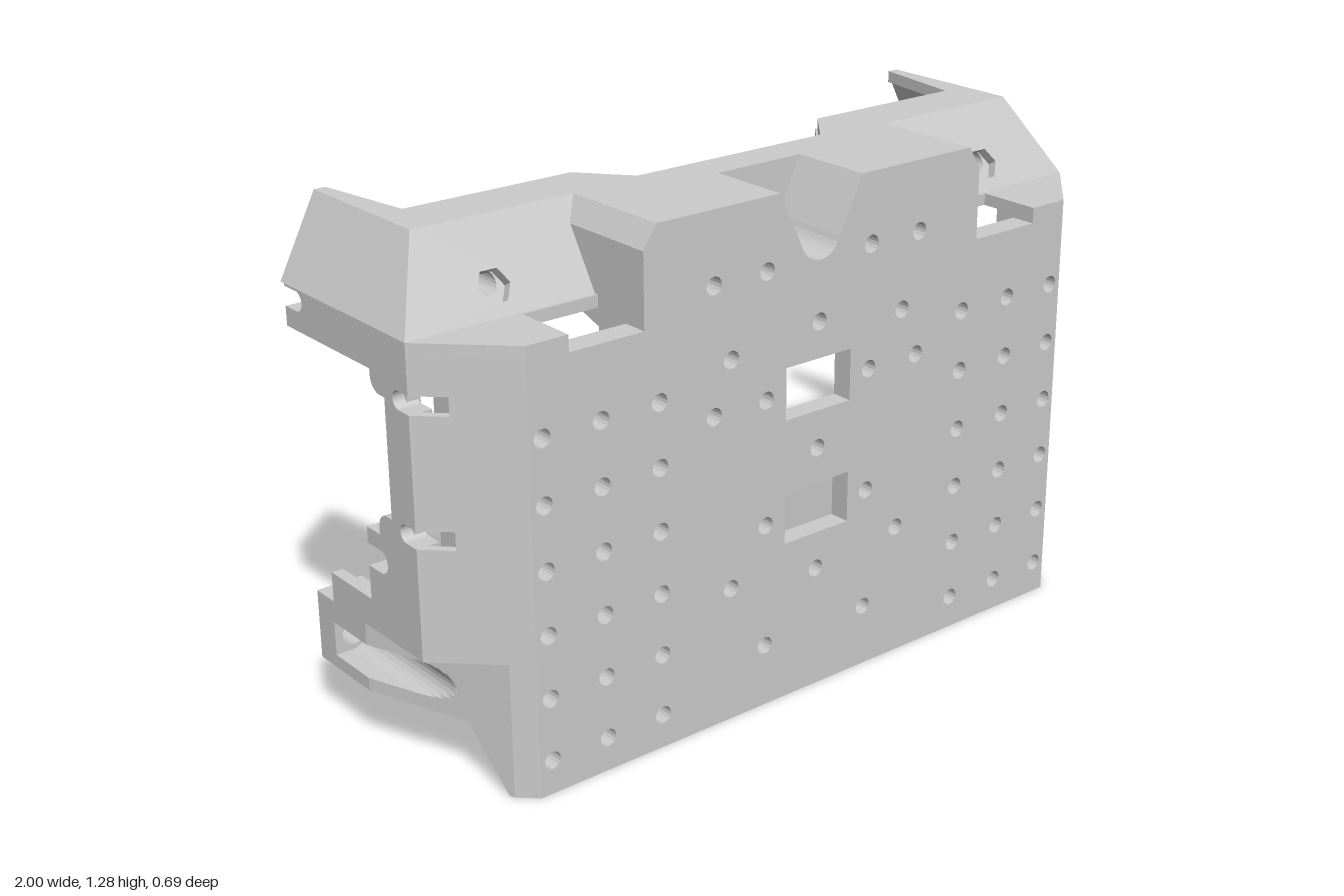
import * as THREE from 'three';
import { mergeGeometries } from 'three/addons/utils/BufferGeometryUtils.js';

const T = 0.03; // wall thickness
const X = [1, 0, 0], Y = [0, 1, 0], BACK = [0, 0, -1];
const material = new THREE.MeshStandardMaterial({ color: 0xcccccc, flatShading: true, side: THREE.DoubleSide });

const arc = (cx, cy, r, a0, a1, n = 12) => Array.from({ length: n + 1 }, (_, i) => {
  const a = THREE.MathUtils.degToRad(a0 + (a1 - a0) * i / n);
  return [cx + r * Math.cos(a), cy + r * Math.sin(a)];
});
const circle = (cx, cy, r, n = 20) => arc(cx, cy, r, 0, 360 - 360 / n, n - 1);
const rect = (x0, y0, x1, y1) => [[x0, y0], [x1, y0], [x1, y1], [x0, y1]];
const vectors = (pts) => pts.map(([x, y]) => new THREE.Vector2(x, y));
const mirrored = (half) => [...half, ...half.map(([x, y]) => [-x, y]).reverse()];

// Sheet drawn in the plane origin + u, v; its outer face lies on the plane
function sheet(outline, origin, u, v, holes = [], depth = T, steps = 1) {
  const shape = new THREE.Shape(vectors(outline));
  shape.holes = holes.map((h) => new THREE.Path(vectors(h)));
  const g = new THREE.ExtrudeGeometry(shape, { depth, steps, bevelEnabled: false });
  g.translate(0, 0, -depth);
  const a = new THREE.Vector3(...u).normalize(), b = new THREE.Vector3(...v).normalize();
  const m = new THREE.Matrix4().makeBasis(a, b, a.clone().cross(b)).setPosition(...origin);
  return g.applyMatrix4(m);
}

function box(x0, x1, y0, y1, z0, z1) {
  return new THREE.BoxGeometry(x1 - x0, y1 - y0, z1 - z0)
    .translate((x0 + x1) / 2, (y0 + y1) / 2, (z0 + z1) / 2).toNonIndexed();
}

// Tube boss pointing backwards from z
function boss(x, y, z, inner, outer, height) {
  const p = [[inner, 0], [outer, 0], [outer, height * 0.6], [outer * 0.85, height], [inner, height], [inner, 0]];
  return new THREE.LatheGeometry(vectors(p), 20).rotateX(-Math.PI / 2).translate(x, y, z).toNonIndexed();
}

// Moves every vertex by a rule
function reshape(g, rule) {
  const p = g.attributes.position;
  for (let i = 0; i < p.count; i++) p.setXYZ(i, ...rule(p.getX(i), p.getY(i), p.getZ(i)));
  g.computeVertexNormals();
  return g;
}

function flipX(geometry) {
  const g = geometry.clone().scale(-1, 1, 1);
  const p = g.attributes.position;
  for (let i = 0; i < p.count; i += 3) {
    const a = new THREE.Vector3().fromBufferAttribute(p, i);
    const b = new THREE.Vector3().fromBufferAttribute(p, i + 1);
    p.setXYZ(i, b.x, b.y, b.z);
    p.setXYZ(i + 1, a.x, a.y, a.z);
  }
  g.computeVertexNormals();
  return g;
}

export function createModel() {
  const model = new THREE.Group();
  model.name = 'mountingShell';
  const add = (name, g) => {
    const mesh = new THREE.Mesh(g, material);
    mesh.name = name;
    model.add(mesh);
  };
  const addPair = (name, g) => { add(name + 'Left', g); add(name + 'Right', flipX(g)); };

  // Screw hole positions
  const screws = [[0, 0.945], [0, 0.63], [0, 0.315]];
  for (const s of [-1, 1]) {
    for (const x of [0.47, 0.63, 0.785])
      for (let i = 0; i < 6; i++) screws.push([s * x, 0.085 + i * 0.156]);
    for (const [x, y] of [[0.315, 1.1], [0.16, 1.1], [0.265, 0.915], [0.315, 0.79], [0.16, 0.79],
      [0.16, 0.475], [0.265, 0.345], [0.16, 0.16]]) screws.push([s * x, y]);
  }

  // Front plate with windows, screw holes and the top notch
  const windows = [[0.725, 0.855], [0.41, 0.54]];
  const plate = mirrored([[0.82, 0], [0.82, 1.08], [0.71, 1.08], [0.71, 1.04], [0.51, 1.04], [0.51, 1.22],
    [0.475, 1.275], [0.125, 1.275], ...arc(0, 1.155, 0.06, -15, -85, 6)]);
  add('frontPlate', sheet(plate, [0, 0, 0.345], X, Y, [
    ...windows.map(([a, b]) => rect(-0.1, a, 0.1, b)), ...screws.map(([x, y]) => circle(x, y, 0.022, 16))]));
  add('screwCollars', mergeGeometries(screws.map(([x, y]) => boss(x, y, 0.316, 0.022, 0.037, 0.022))));
  for (const [a, b] of windows)
    add('windowRim', sheet(rect(-0.122, a - 0.022, 0.122, b + 0.022), [0, 0, 0.316], X, Y,
      [rect(-0.1, a, 0.1, b)], 0.025));

  // Notch lining, back wall and centre boss
  const notchIn = mirrored([[0.125, 1.275], ...arc(0, 1.155, 0.06, -15, -85, 6)]);
  const notchOut = mirrored([[0.15, 1.275], ...arc(0, 1.155, 0.085, -15, -85, 6)]);
  add('notchLining', sheet([...notchOut, ...notchIn.reverse()], [0, 0, 0.345], X, Y, [], 0.24));
  add('notchBackWall', sheet(notchOut, [0, 0, 0.13], X, Y, [circle(0, 1.16, 0.043, 6)]));
  add('centreBoss', boss(0, 1.16, 0.115, 0.025, 0.068, 0.075));

  // Roof, with its stepped back edge
  const roof = mirrored([[0.125, -0.345], [0.475, -0.345], [0.475, -0.05], [0.9, -0.05], [0.9, 0.345],
    [0.87, 0.345], [0.83, 0.09], [0.38, 0.09], [0.28, -0.03]]);
  roof.push([-0.125, -0.13], [0.125, -0.13]);
  add('roof', sheet(roof, [0, 1.275, 0], X, BACK));
  addPair('roofLip', box(0.39, 0.83, 1.215, 1.25, -0.075, -0.05));
  addPair('roofLipDiagonal', sheet(rect(0, 0, 0.156, 0.04), [0.29, 1.21, 0.04], [0.1, 0, -0.12], Y, [], 0.02));
  add('roofLipCentre', box(-0.29, 0.29, 1.215, 1.25, 0.045, 0.065));

  // Raised centre block sides
  addPair('blockSide', sheet([[-0.345, 1.04], [-0.17, 1.04], [-0.17, 1.08], [-0.084, 1.22], [-0.345, 1.22]],
    [0.51, 0, 0], BACK, Y));
  addPair('blockBevel', sheet([[-0.345, 0], [-0.084, 0], [-0.05, 0.065], [-0.345, 0.065]],
    [0.51, 1.22, 0], BACK, [-0.035, 0.055, 0]));

  // Sloping shoulders, notched shelf below them, and bosses trimmed to the slope
  addPair('shoulder', sheet([[0.51, 0], [1, 0], [0.9, 0.229], [0.475, 0.229], [0.51, 0.165]],
    [0, 1.08, 0.17], X, [0, 0.195, -0.12], [circle(0.75, 0.07, 0.043, 6)]));
  addPair('shoulderShelf', sheet([[0.51, -0.17], [0.51, -0.18], [0.71, -0.18], [0.71, -0.345], [0.82, -0.345],
    [1, -0.17]], [0, 1.08, 0], X, BACK));
  addPair('notchLedge', box(0.5, 0.71, 1.015, 1.04, 0.28, 0.335));
  addPair('shoulderBoss', reshape(boss(0.75, 1.14, 0.12, 0.025, 0.065, 0.13),
    (x, y, z) => [x, y, z > 0.1 ? 0.14 - 0.615 * (y - 1.08) : Math.min(z, 0.13 - 0.615 * (y - 1.08))]));

  // Angled corner walls with clip slots
  const L = 0.251, clips = [0.63, 0.94];
  addPair('cornerWall', sheet([[0, 0], [0.06, 0], [0.06, 0.335], [L, 0.335],
    ...clips.flatMap((c) => [[L, c - 0.022], [0.165, c - 0.022], [0.165, c + 0.022], [L, c + 0.022]]),
    [L, 1.08], [0, 1.08]], [0.82, 0, 0.345], [0.18, 0, -0.175], Y, [], 0.02));

  // Flared lower wall, continuing into the channelled arm with a drilled end block
  const flare = (z) => 0.863 + 0.365 * (0.303 - z);
  addPair('lowerCornerWall', sheet([[0, 0], [0.014, 0], [0.12, 0.16], [0.12, 0.335], [0, 0.335]],
    [0.863, 0, 0.303], [0.365, 0, -1], Y));
  addPair('cornerSill', sheet([[0.85, -0.3], [0.863, -0.303], [1, -0.17], [1, 0.072], [0.88, 0.072], [0.88, -0.19]],
    [0, 0.36, 0], X, BACK, [], 0.025));
  addPair('lowerArm', reshape(sheet([[0.88, 0.16], [1, 0.16], [1, 0.193], ...arc(0.957, 0.236, 0.043, 270, 90),
    [1, 0.279], [1, 0.335], [0.88, 0.335]], [0, 0, 0.19], X, Y, [], 0.405, 40),
  (x, y, z) => [Math.min(x, flare(z)), y, z]));
  addPair('armEnd', sheet(rect(0.88, 0.16, 1, 0.335), [0, 0, -0.215], X, Y, [circle(0.95, 0.236, 0.03)], 0.07));

  // Side walls with rear hooks and clip slots
  addPair('sideWall', sheet([[-0.17, 0.335], [0.21, 0.335], [0.21, 0.41], [0.035, 0.41], [0.035, 0.494],
    ...arc(-0.018, 0.522, 0.028, 270, 90), [0.035, 0.55], [0.035, 0.59], [-0.02, 0.59],
    ...arc(-0.055, 0.61, 0.035, 0, 90, 6), [-0.075, 0.645], [-0.075, 0.93],
    ...arc(-0.055, 0.965, 0.035, -90, 0, 6), [-0.02, 0.98], [0.33, 0.98], [0.33, 1.027],
    ...arc(0.28, 1.051, 0.024, 270, 90), [0.33, 1.075], [0.33, 1.08], [-0.17, 1.08],
    ...[...clips].reverse().flatMap((c) => [[-0.17, c + 0.022], ...arc(-0.13, c, 0.022, 90, -90), [-0.17, c - 0.022]]),
  ], [1, 0, 0], BACK, Y));
  addPair('upperWing', sheet([[-0.17, 0], [0.345, 0], [0.345, 0.219], [-0.05, 0.219]],
    [1, 1.08, 0], BACK, [-0.1, 0.195, 0]));
  for (const c of clips) {
    addPair('clipCollar', sheet([[-0.17, c + 0.04], ...arc(-0.14, c, 0.04, 90, -90), [-0.17, c - 0.04],
      [-0.17, c - 0.022], ...arc(-0.13, c, 0.022, -90, 90), [-0.17, c + 0.022]], [0.972, 0, 0], BACK, Y));
    addPair('clipStop', box(0.935, 0.97, c - 0.035, c + 0.035, 0.1, 0.115));
  }
  for (const [u, y, r, end] of [[-0.018, 0.522, 0.028, 0.035], [0.28, 1.051, 0.024, 0.33]])
    addPair('hookCollar', sheet([[end, y - r - 0.013], ...arc(u, y, r + 0.013, 270, 90), [end, y + r + 0.013],
      [end, y + r], ...arc(u, y, r, 90, 270), [end, y - r]], [0.985, 0, 0], BACK, Y));

  // Inner compartment walls, shelves and corner ribs
  addPair('innerWall', sheet([[-0.32, 0.45], [-0.08, 0.45], [-0.08, 0.96], [0.04, 1.0], [0.04, 1.26], [-0.32, 1.26]],
    [0.435, 0, 0], BACK, Y, [], 0.025));
  addPair('innerShelf', sheet([[0.41, -0.32], [0.84, -0.32], [0.97, -0.18], [0.97, -0.08], [0.76, -0.08],
    [0.76, -0.12], [0.5, -0.12], [0.5, -0.08], [0.41, -0.08]], [0, 0.475, 0], X, BACK, [], 0.025));
  addPair('cornerRib', box(0.86, 0.885, 0.45, 1.07, 0.085, 0.27));

  // Centre brackets with triangular gussets
  addPair('centreBracket', box(0.16, 0.3, 1.0, 1.03, -0.01, 0.32));
  for (const x of [0.22, 0.29])
    addPair('bracketGusset', sheet([[-0.32, 1.025], [0.005, 1.025], [-0.2, 1.12], [-0.32, 1.12]],
      [x, 0, 0], BACK, Y, [], 0.02));

  return model;
}
